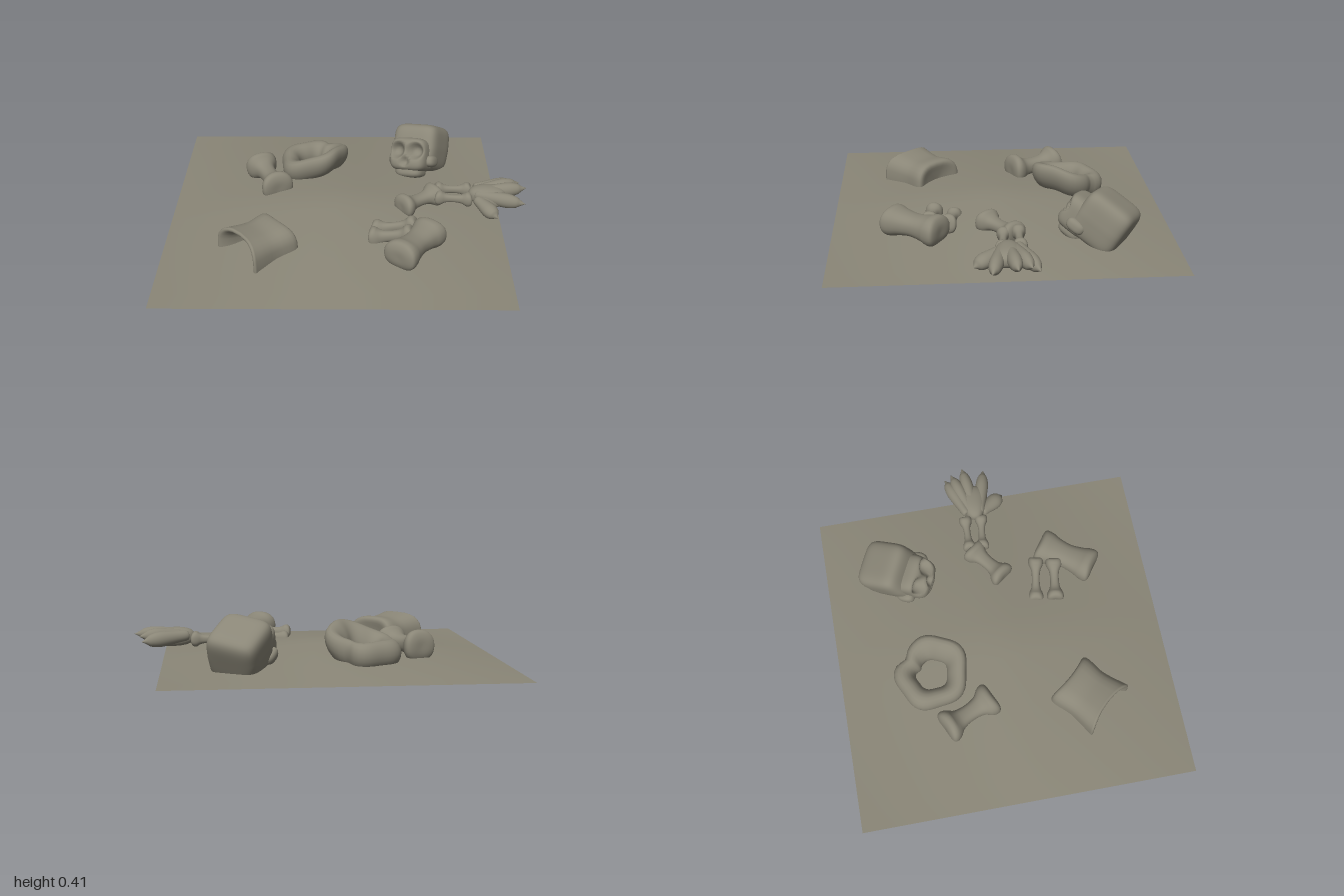
import * as THREE from 'three';
import { mergeVertices } from 'three/addons/utils/BufferGeometryUtils.js';

const stone = new THREE.MeshStandardMaterial({ color: 0x8a8677, side: THREE.DoubleSide });
stone.name = 'grey stone';

function mesh(name, geometry) {
  const m = new THREE.Mesh(geometry, stone);
  m.name = name;
  return m;
}

// Rounds off seams so the whole surface shades smoothly
function smooth(geometry) {
  geometry.deleteAttribute('uv');
  geometry.deleteAttribute('normal');
  const g = mergeVertices(geometry, 1e-5);
  g.computeVertexNormals();
  return g;
}

// Moves every vertex by a rule
function reshape(geometry, rule) {
  const p = geometry.attributes.position, v = new THREE.Vector3();
  for (let i = 0; i < p.count; i++) {
    rule(v.fromBufferAttribute(p, i));
    p.setXYZ(i, v.x, v.y, v.z);
  }
  return smooth(geometry);
}

// Superellipse sections swept along z; profile is [z, scale] pairs
function loft(profile, w, h, power = 2, rule = () => {}) {
  const curve = new THREE.SplineCurve(profile.map(([z, s]) => new THREE.Vector2(z, s)));
  const rows = 36, sides = 28, pos = [], index = [];
  const bend = (c) => Math.sign(c) * Math.abs(c) ** (2 / power);
  for (let i = 0; i <= rows; i++) {
    const q = curve.getPoint(i / rows);
    for (let j = 0; j < sides; j++) {
      const a = (j / sides) * Math.PI * 2, s = Math.max(q.y, 0);
      pos.push(bend(Math.cos(a)) * w * s, bend(Math.sin(a)) * h * s, q.x);
      if (i === rows) continue;
      const k = i * sides, n = (j + 1) % sides;
      index.push(k + j, k + n, k + sides + j, k + sides + j, k + n, k + sides + n);
    }
  }
  const g = new THREE.BufferGeometry();
  g.setAttribute('position', new THREE.Float32BufferAttribute(pos, 3));
  g.setIndex(index);
  return reshape(g, rule);
}

// Rounded block with optional extra sculpting
function block(name, size, at, power = 4, rule = () => {}) {
  const m = mesh(name, reshape(new THREE.BoxGeometry(2, 2, 2, 16, 16, 16), (v) => {
    const n = (Math.abs(v.x) ** power + Math.abs(v.y) ** power + Math.abs(v.z) ** power) ** (1 / power);
    v.divideScalar(n).multiply(new THREE.Vector3(...size));
    rule(v);
  }));
  m.position.set(...at);
  return m;
}

// Bone between two end points, with two-lobed knobs at both ends
function bone(name, a, b, w, h, waist = 0.5) {
  const from = new THREE.Vector3(...a), to = new THREE.Vector3(...b);
  const l = from.distanceTo(to) / 2;
  const half = [[1, 0], [0.99, 0.5], [0.88, 0.9], [0.68, 0.95], [0.4, waist + 0.1]];
  const profile = [...half.map(([z, s]) => [-z * l, s]), [0, waist],
    ...half.reverse().map(([z, s]) => [z * l, s])];
  const m = mesh(name, loft(profile, w, h, 2.3, (v) => {
    if (Math.abs(v.z) > 0.6 * l) v.z *= 0.95 + 0.12 * (v.x / w) ** 2;
  }));
  m.position.copy(from).add(to).multiplyScalar(0.5);
  m.lookAt(to);
  return m;
}

// Tapered finger with a swollen knuckle
function finger(name, a, b, w, h) {
  const from = new THREE.Vector3(...a), to = new THREE.Vector3(...b), l = from.distanceTo(to);
  const m = mesh(name, loft([[0, 0], [0.02 * l, 0.6], [0.25 * l, 0.8], [0.6 * l, 1],
    [0.8 * l, 0.8], [0.9 * l, 0.4], [l, 0]], w, h));
  m.position.copy(from);
  m.lookAt(to);
  return m;
}

function makeGround() {
  const g = new THREE.PlaneGeometry(2, 2, 16, 16).rotateX(-Math.PI / 2);
  const m = mesh('ground', reshape(g, (v) => {
    v.y = 0.11 + 0.095 * (1 - Math.abs(v.x) ** 1.3) * (1 - Math.abs(v.z) ** 1.3);
    v.x *= 0.92;
    v.z *= 0.92;
  }));
  m.position.x = -0.08;
  return m;
}

function makeSkull() {
  const skull = new THREE.Group();
  skull.name = 'skull';
  skull.add(block('cranium', [0.14, 0.14, 0.14], [0, 0.02, -0.035], 5, (v) => {
    v.x *= 1 - 0.8 * Math.max(0, -v.y);
  }));
  // Face with two eye sockets and a nose hollow pressed in
  const hollows = [[-0.058, 0.02, 0.042, 0.06], [0.058, 0.02, 0.042, 0.06], [0, -0.045, 0.025, 0.03]];
  skull.add(block('face', [0.115, 0.1, 0.1], [0, -0.03, 0.085], 4, (v) => {
    if (v.z < 0.03) return;
    for (const [x, y, r, depth] of hollows) {
      const d = Math.hypot(v.x - x, v.y - y) / r;
      v.z -= depth * Math.exp(-(d ** 4));
    }
  }));
  skull.add(block('jaw', [0.085, 0.045, 0.075], [0, -0.125, 0.08], 3));
  for (const s of [-1, 1])
    skull.add(block('cheekbone', [0.035, 0.035, 0.055], [s * 0.115, -0.06, 0.06], 2.5));
  skull.position.set(0.41, 0.235, -0.5);
  skull.rotation.set(-0.5, -0.58, 0.2, 'YXZ');
  return skull;
}

// Hollow ribcage, open at one end
function makeRibcage() {
  const m = mesh('ribcage', loft([[-0.12, 0], [-0.13, 0.5], [-0.135, 0.85], [-0.1, 0.97], [0, 0.9],
    [0.11, 1], [0.14, 1.03], [0.145, 0.9], [0.1, 0.74], [0, 0.6], [-0.03, 0.4], [-0.03, 0]],
  0.165, 0.135, 3, (v) => { v.z *= 0.88 + 8 * v.x * v.x; }));
  m.position.set(-0.475, 0.145, 0.42);
  m.rotation.y = -0.85;
  return m;
}

// Flared pelvis ring, taller on one side
function makePelvis() {
  const g = new THREE.TorusGeometry(0.145, 0.058, 18, 48).rotateX(Math.PI / 2);
  const m = mesh('pelvis', reshape(g, (v) => {
    const a = Math.atan2(v.z, v.x), r = Math.hypot(v.x, v.z);
    const flare = Math.cos(a - 0.8), notch = (a + 0.9) / 0.2;
    const k = 1 + 0.05 * Math.cos(5 * a + 0.6) - 0.12 * Math.exp(-(notch ** 2));
    v.y = v.y * 1.25 + (r - 0.1) * (0.35 + 0.35 * flare) + 0.02 * flare + 0.015 * Math.cos(2 * a - 1.6);
    v.x *= k * 0.97;
    v.z *= k;
  }));
  m.position.set(-0.22, 0.2, -0.41);
  return m;
}

function makeHand() {
  const hand = new THREE.Group();
  hand.name = 'hand';
  hand.add(block('palm', [0.105, 0.05, 0.1], [0.77, 0.23, 0], 2.5, (v) => {
    v.z *= 0.8 + 3 * v.x;
    v.y -= 2 * v.z * v.z;
  }));
  [[-0.07, 0.95, -0.14, 0.22], [-0.03, 0.965, -0.1, 0.245], [0, 0.995, -0.03, 0.25], [0.04, 0.975, 0.095, 0.22]]
    .forEach(([z, x, tip, y]) => hand.add(finger('finger', [0.7, 0.24, z * 0.7], [x, y, tip], 0.037, 0.042)));
  hand.add(finger('thumb', [0.71, 0.22, 0.04], [0.815, 0.18, 0.18], 0.045, 0.04));
  return hand;
}

export function createModel() {
  const model = new THREE.Group();
  model.name = 'scattered bones';
  model.add(makeGround(), makeSkull(), makeRibcage(), makePelvis(), makeHand());
  // Loose limb bones
  model.add(
    bone('thighBone', [-0.545, 0.21, -0.395], [-0.405, 0.2, -0.095], 0.095, 0.09),
    bone('upperLegBone', [0.45, 0.205, 0.325], [0.245, 0.205, 0.615], 0.1, 0.085, 0.7),
    bone('shinBone', [0.12, 0.15, 0.25], [0.37, 0.21, 0.295], 0.045, 0.055),
    bone('shinBone', [0.1, 0.17, 0.36], [0.345, 0.21, 0.395], 0.05, 0.06),
    bone('upperArmBone', [0.28, 0.2, 0.1], [0.5, 0.2, -0.065], 0.075, 0.065),
    bone('forearmBone', [0.475, 0.22, -0.07], [0.69, 0.22, -0.065], 0.038, 0.042),
    bone('forearmBone', [0.475, 0.21, 0.005], [0.69, 0.21, 0.03], 0.038, 0.042),
  );
  return model;
}
